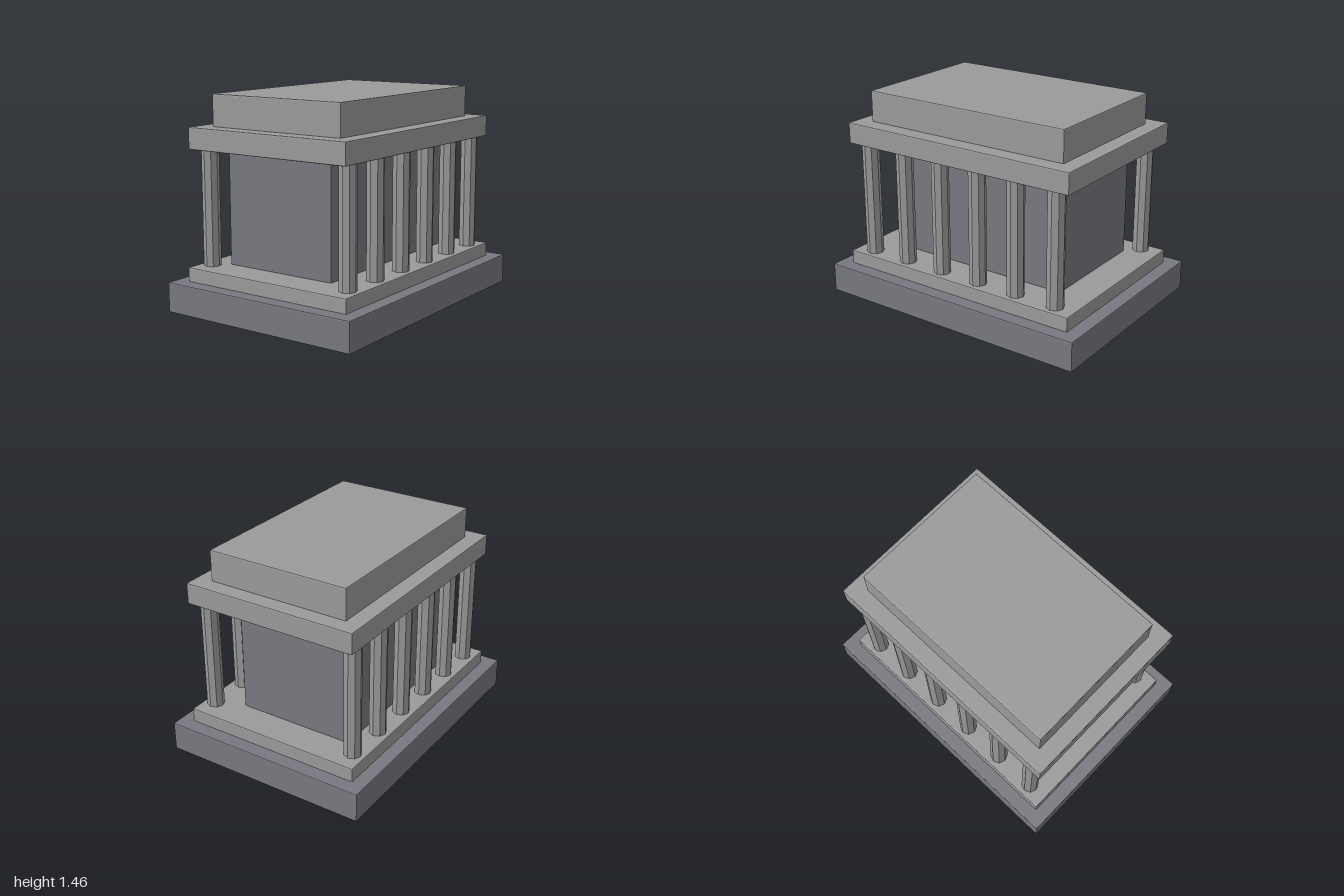
import * as THREE from 'three';
import { RoundedBoxGeometry } from 'three/addons/geometries/RoundedBoxGeometry.js';

export function createModel() {
  const model = new THREE.Group();
  model.name = 'temple';

  const paleStone = new THREE.MeshStandardMaterial({ color: 0x9a9a9a, flatShading: true });
  paleStone.name = 'pale stone';
  const darkStone = new THREE.MeshStandardMaterial({ color: 0x787880, flatShading: true });
  darkStone.name = 'dark stone';

  // Block with finely chamfered edges, spanning y0 to y1
  function addBlock(name, material, width, depth, y0, y1, z = 0) {
    const mesh = new THREE.Mesh(new RoundedBoxGeometry(width, y1 - y0, depth, 1, 0.008), material);
    mesh.name = name;
    mesh.position.set(0, (y0 + y1) / 2, z);
    model.add(mesh);
  }

  // Platform
  addBlock('base', darkStone, 2, 1.48, 0, 0.207);
  addBlock('step', paleStone, 1.804, 1.29, 0.2, 0.304);

  // Inner chamber, set back behind the front columns
  addBlock('chamber', darkStone, 1.35, 0.838, 0.3, 1.09, -0.048);

  // Roof tiers
  addBlock('entablature', paleStone, 1.77, 1.26, 1.098, 1.246);
  addBlock('attic', paleStone, 1.545, 1.03, 1.24, 1.462);

  // Octagonal columns in a front and a back row
  const columnGeometry = new THREE.CylinderGeometry(0.059, 0.059, 0.81, 8);
  for (const [row, z] of [['front', 0.558], ['back', -0.556]]) {
    const columns = new THREE.Group();
    columns.name = `${row}Columns`;
    for (let i = 0; i < 6; i++) {
      const column = new THREE.Mesh(columnGeometry, paleStone);
      column.name = `${row}Column${i + 1}`;
      column.position.set((i - 2.5) * 0.303, 0.7, z);
      columns.add(column);
    }
    model.add(columns);
  }

  return model;
}
